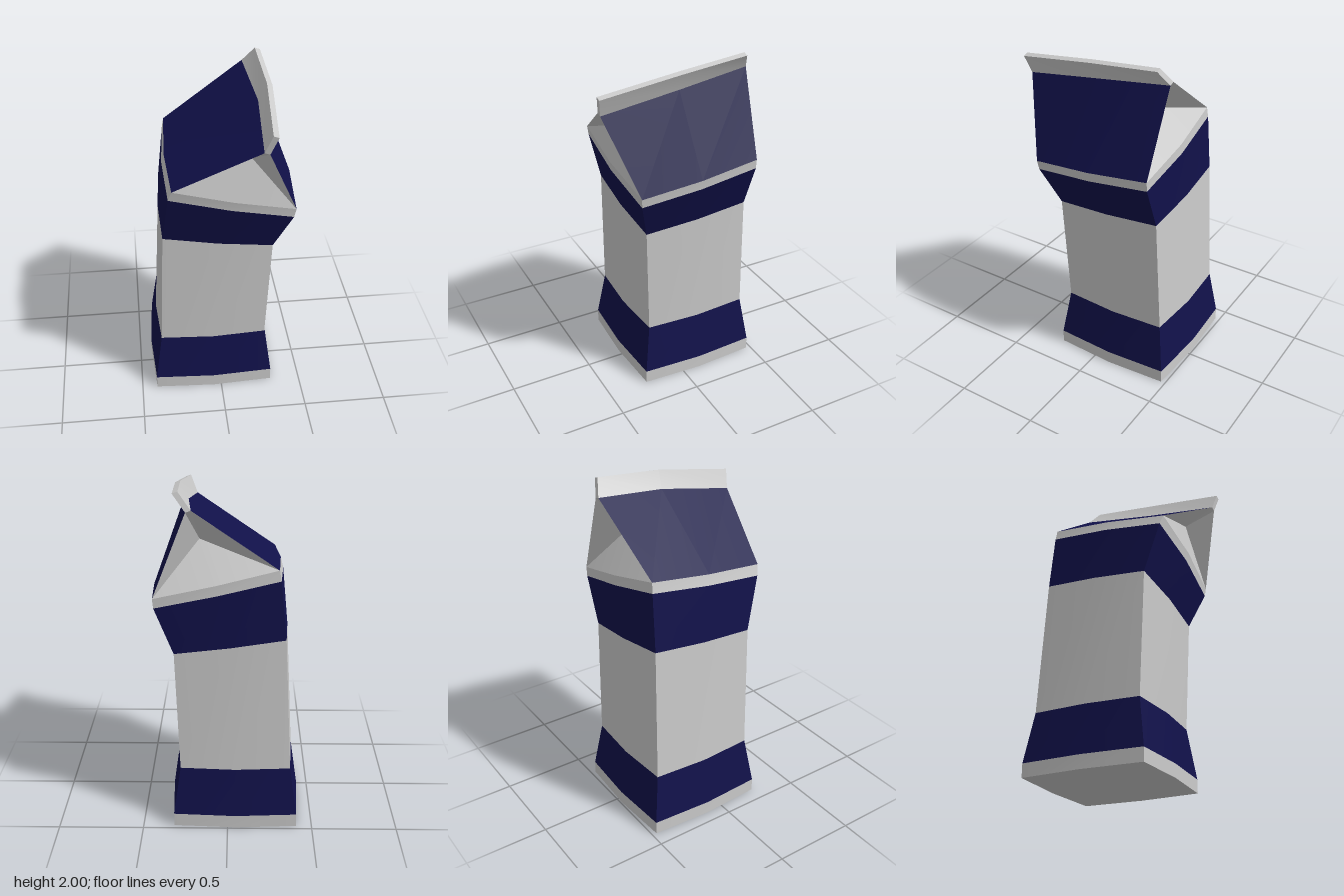
import * as THREE from 'three';
import { toCreasedNormals } from 'three/addons/utils/BufferGeometryUtils.js';

const grey = new THREE.MeshStandardMaterial({ color: 0xcccccc });
const navy = new THREE.MeshStandardMaterial({ color: 0x11114a });

// Eight-point cross-section from four corners, each side bowed slightly outward.
// Corner order: front +x, back +x, back -x, front -x.
function ring(corners, bulge = 0.02) {
  const c = corners.map((p) => new THREE.Vector3(...p));
  const out = [[1, 0], [0, -1], [-1, 0], [0, 1]];
  return c.flatMap((p, i) => {
    const mid = p.clone().lerp(c[(i + 1) % 4], 0.5);
    mid.x += out[i][0] * bulge;
    mid.z += out[i][1] * bulge;
    return [p, mid];
  });
}

// Axis-aligned square section
function level(y, cx, cz, h) {
  return ring([[cx + h, y, cz + h], [cx + h, y, cz - h], [cx - h, y, cz - h], [cx - h, y, cz + h]]);
}

// Triangles joining two rows of points (a below, b above)
function strip(a, b, closed = false) {
  const tris = [];
  const n = a.length;
  for (let i = 0; i < (closed ? n : n - 1); i++) {
    const j = (i + 1) % n;
    tris.push(a[i], a[j], b[j], a[i], b[j], b[i]);
  }
  return tris;
}

function part(name, tris, material) {
  const geo = new THREE.BufferGeometry().setFromPoints(tris);
  const mesh = new THREE.Mesh(toCreasedNormals(geo, 0.35), material);
  mesh.name = name;
  return mesh;
}

// Gable end: a flat triangle plus two folds running out to the ridge ends
function gable(a, m, b, apex, ridgeA, ridgeB) {
  return [a, m, apex, m, b, apex, a, apex, ridgeA, apex, b, ridgeB, apex, ridgeB, ridgeA];
}

export function createModel() {
  const group = new THREE.Group();
  group.name = 'carton';
  const V = (x, y, z) => new THREE.Vector3(x, y, z);

  // Sections from the base up to the shoulder
  const base = level(0, -0.045, -0.11, 0.362);
  const baseTop = level(0.08, -0.045, -0.11, 0.362);
  const lowWaist = level(0.372, -0.045, -0.11, 0.32);
  const highWaist = ring([[0.3, 1.045, 0.235], [0.3, 1.09, -0.405], [-0.325, 1.175, -0.405], [-0.335, 1.13, 0.225]], 0.015);
  const shoulder = ring([[0.4, 1.285, 0.31], [0.405, 1.36, -0.405], [-0.29, 1.515, -0.395], [-0.3, 1.44, 0.31]]);
  const eaves = ring([[0.41, 1.34, 0.315], [0.41, 1.415, -0.405], [-0.28, 1.575, -0.39], [-0.28, 1.5, 0.325]]);

  const bands = [
    ['baseBand', base, baseTop, grey],
    ['lowerBand', baseTop, lowWaist, navy],
    ['body', lowWaist, highWaist, grey],
    ['upperBand', highWaist, shoulder, navy],
    ['shoulderBand', shoulder, eaves, grey],
  ];
  for (const [name, lower, upper, material] of bands) {
    group.add(part(name, strip(lower, upper, true), material));
  }

  // Underside
  const centre = V(-0.045, 0, -0.11);
  group.add(part('bottom', base.flatMap((p, i) => [centre, base[(i + 1) % 8], p]), grey));

  // Ridge foot and ridge top, each as front, middle and back points
  const footL = [V(0.195, 1.79, 0.46), V(0.225, 1.865, 0.01), V(0.19, 1.91, -0.425)];
  const footR = footL.map((p) => p.clone().add(V(0.03, -0.01, 0)));
  const topL = [V(0.235, 1.895, 0.48), V(0.27, 1.965, 0.02), V(0.26, 2, -0.385)];
  const topR = topL.map((p) => p.clone().add(V(0.03, -0.01, 0)));

  // Roof slopes
  group.add(part('leftRoof', strip(eaves.slice(0, 3), footR), navy));
  group.add(part('rightRoof', strip(eaves.slice(4, 7), [...footL].reverse()), navy));

  // Folded gable ends
  group.add(part('frontGable', gable(eaves[6], eaves[7], eaves[0], V(0.155, 1.67, 0.29), footL[0], footR[0]), grey));
  group.add(part('backGable', gable(eaves[2], eaves[3], eaves[4], V(0.155, 1.712, -0.257), footR[2], footL[2]), grey));

  // Sealed fin along the ridge
  const sections = [0, 1, 2].map((i) => [footL[i], footR[i], topR[i], topL[i]]);
  const [f, , b] = sections;
  const fin = [
    ...strip(sections[1], sections[0], true),
    ...strip(sections[2], sections[1], true),
    f[0], f[1], f[2], f[0], f[2], f[3],
    b[1], b[0], b[3], b[1], b[3], b[2],
  ];
  group.add(part('ridgeFin', fin, grey));

  return group;
}
